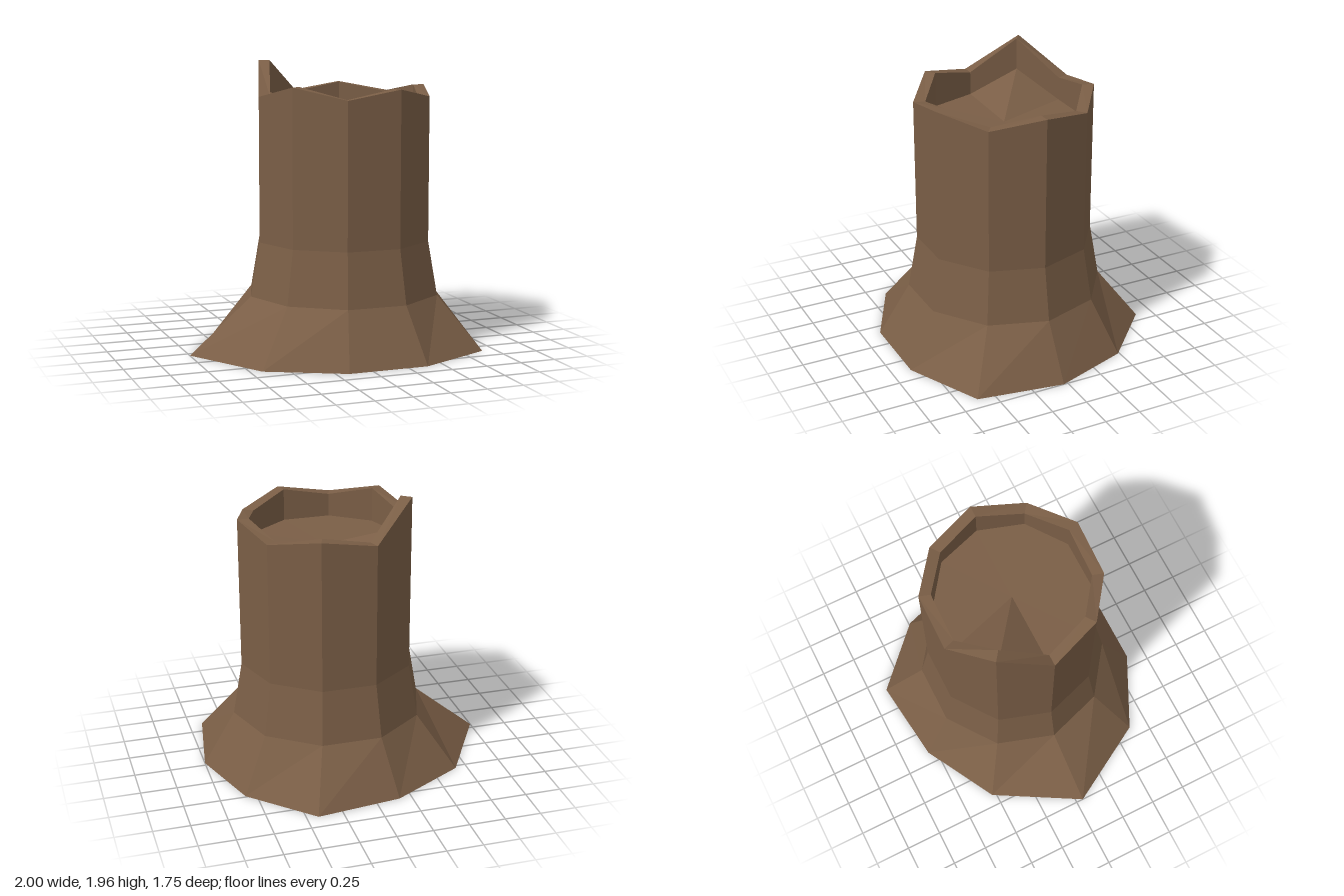
import * as THREE from 'three';

const SIDES = 10;
const CX = 0.11, CZ = 0.03; // trunk axis, off-centre over the spreading roots

// Ring of points around the trunk axis; y is one height or one per corner
function ring(radius, y) {
  return Array.from({ length: SIDES }, (_, k) => {
    const a = (k / SIDES) * Math.PI * 2;
    return [CX + radius * Math.cos(a), Array.isArray(y) ? y[k] : y, CZ + radius * Math.sin(a)];
  });
}

function toGeometry(points) {
  const geometry = new THREE.BufferGeometry();
  geometry.setAttribute('position', new THREE.Float32BufferAttribute(points.flat(), 3));
  geometry.computeVertexNormals();
  return geometry;
}

// Faceted skin through a list of rings
function loft(rings) {
  const points = [];
  for (let r = 0; r < rings.length - 1; r++) {
    const a = rings[r], b = rings[r + 1];
    for (let k = 0; k < SIDES; k++) {
      const n = (k + 1) % SIDES;
      points.push(a[k], b[k], a[n], a[n], b[k], b[n]);
    }
  }
  return toGeometry(points);
}

// Triangles from a ring to one centre point
function fan(edge, centre) {
  return toGeometry(edge.flatMap((p, k) => [p, centre, edge[(k + 1) % SIDES]]));
}

export function createModel() {
  const group = new THREE.Group();
  group.name = 'treeStump';
  const bark = new THREE.MeshStandardMaterial({ color: 0x7a5e46, side: THREE.DoubleSide, flatShading: true });
  bark.name = 'brown bark';

  const add = (name, geometry) => {
    const mesh = new THREE.Mesh(geometry, bark);
    mesh.name = name;
    group.add(mesh);
  };

  // Irregular foot of the stump
  const foot = [
    [1, 0.03], [0.905, 0.62], [0.385, 0.87], [-0.165, 0.87], [-0.67, 0.62],
    [-1, 0.05], [-0.67, -0.53], [-0.165, -0.81], [0.42, -0.88], [0.825, -0.49],
  ].map(([x, z]) => [x, 0, z]);

  // Jagged broken top with one tall splinter
  const jagged = [1.79, 1.73, 1.795, 1.73, 1.81, 1.73, 1.96, 1.73, 1.79, 1.73];
  const collar = ring(0.67, 0.37);
  const outerTop = ring(0.605, jagged);
  const innerTop = ring(0.525, jagged);

  // Sunken floor, raised beside the splinter
  const floorEdge = ring(0.525, jagged.map((_, k) => (k === 6 ? 1.74 : 1.57)));

  add('rootFlare', loft([foot, collar]));
  add('trunk', loft([collar, ring(0.605, 0.74), outerTop]));
  add('brokenRim', loft([outerTop, innerTop]));
  add('hollowWall', loft([innerTop, floorEdge]));
  add('hollowFloor', fan(floorEdge, [CX, 1.555, CZ]));
  return group;
}
